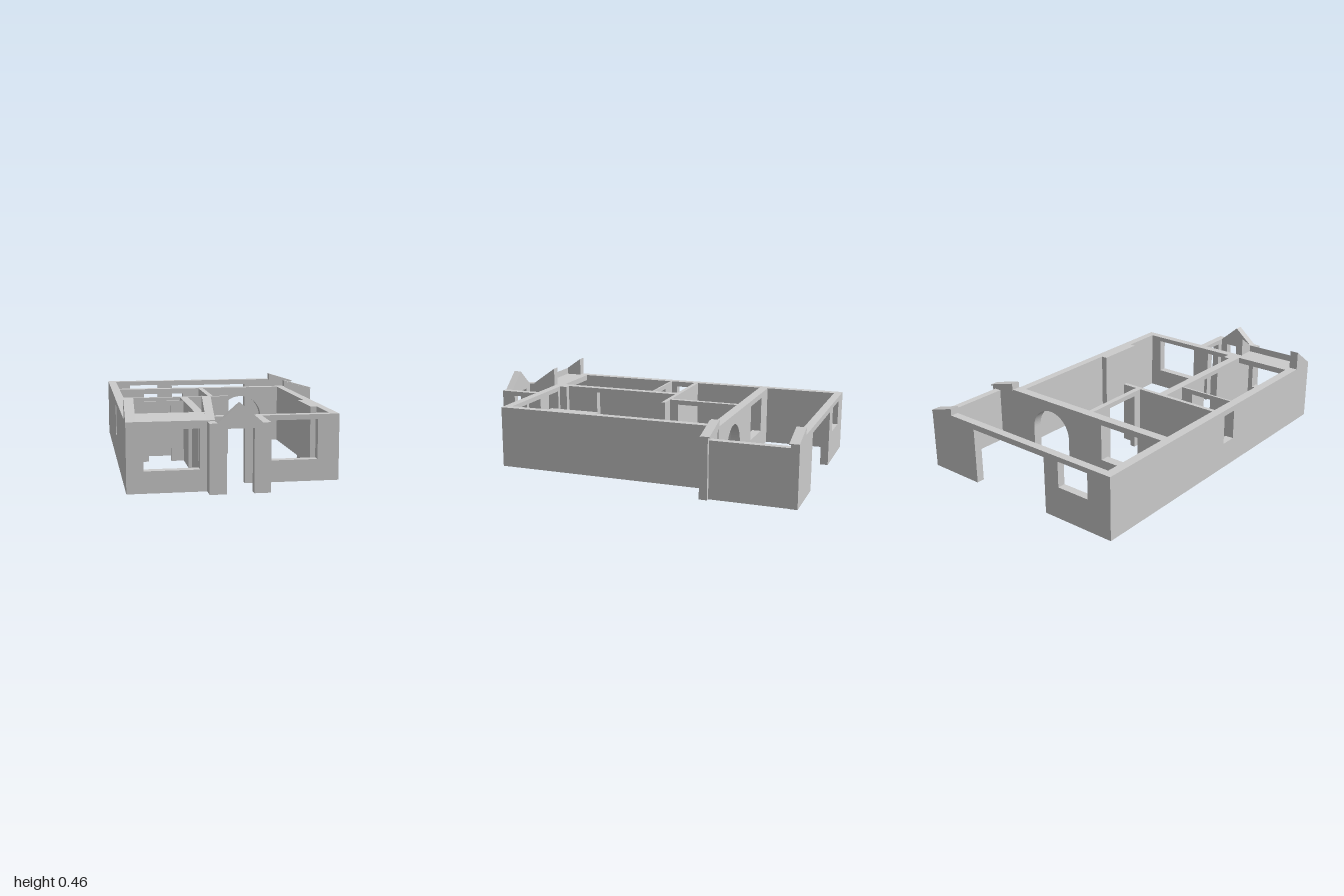
import * as THREE from 'three';

const H = 0.352; // general wall height

export function createModel() {
  const house = new THREE.Group();
  const material = new THREE.MeshStandardMaterial({ color: 0xcccccc, flatShading: true });

  const add = (name, geometry) => {
    const mesh = new THREE.Mesh(geometry, material);
    mesh.name = name;
    house.add(mesh);
  };

  // Upright wall from u = a to b. Doors are notches reaching the floor, windows are holes.
  // door: [from, to, height, arched?]   window: [from, to, sill, head]
  function wallShape(a, b, { doors = [], windows = [], top } = {}) {
    const shape = new THREE.Shape();
    shape.moveTo(a, 0);
    for (const [d0, d1, h, arched] of doors) {
      shape.lineTo(d0, 0);
      if (arched) {
        const r = (d1 - d0) / 2;
        shape.lineTo(d0, h - r);
        shape.absarc((d0 + d1) / 2, h - r, r, Math.PI, 0, true);
      } else {
        shape.lineTo(d0, h);
        shape.lineTo(d1, h);
      }
      shape.lineTo(d1, 0);
    }
    shape.lineTo(b, 0);
    for (const [u, v] of top ?? [[b, H], [a, H]]) shape.lineTo(u, v);
    shape.closePath();
    for (const [w0, w1, sill, head] of windows) {
      const hole = new THREE.Path();
      hole.moveTo(w0, sill);
      hole.lineTo(w0, head);
      hole.lineTo(w1, head);
      hole.lineTo(w1, sill);
      hole.closePath();
      shape.holes.push(hole);
    }
    return shape;
  }

  const extrude = (shape, depth) =>
    new THREE.ExtrudeGeometry(shape, { depth, bevelEnabled: false, curveSegments: 20 });

  // Wall running along x, thick from z0 to z1
  const wallX = (name, a, b, z0, z1, options) =>
    add(name, extrude(wallShape(a, b, options), z1 - z0).translate(0, 0, z0));

  // Wall running along z, thick from x0 to x1
  const wallZ = (name, a, b, x0, x1, options) =>
    add(name, extrude(wallShape(a, b, options), x1 - x0).rotateY(-Math.PI / 2).translate(x1, 0, 0));

  const box = (name, x0, x1, y0, y1, z0, z1) =>
    add(name, new THREE.BoxGeometry(x1 - x0, y1 - y0, z1 - z0)
      .translate((x0 + x1) / 2, (y0 + y1) / 2, (z0 + z1) / 2));

  // Outer walls
  wallZ('rightOuterWall', -1, 0.775, -0.655, -0.605, { windows: [[-0.02, 0.075, 0.15, 0.32]] });
  wallX('backWall', -0.605, 0.47, -1, -0.955, {
    doors: [[-0.22, 0.295, 0.32]],
    windows: [[-0.51, -0.315, 0.18, 0.325]],
  });
  wallZ('leftOuterWall', -0.485, 0.725, 0.42, 0.465);
  wallX('frontWall', -0.27, 0.465, 0.725, 0.772, {
    doors: [[-0.165, -0.035, 0.325]],
    windows: [[0.075, 0.35, 0.115, 0.325]],
  });
  wallZ('sideRoomWall', -0.955, -0.53, 0.585, 0.625, { top: [[-0.53, 0.317], [-0.955, 0.317]] });

  // Wall between the back room and the rest, with the archway
  wallX('archWall', -0.605, 0.47, -0.535, -0.482, {
    doors: [[0.04, 0.31, 0.295, true]],
    windows: [[-0.45, -0.2, 0.11, 0.32]],
  });

  // Raised wall ends with sloping copings
  for (const [z0, z1, c0, c1, end] of [[-1, -0.955, -1, -0.947, 0.628], [-0.53, -0.485, -0.54, -0.493, 0.645]]) {
    wallX('raisedWallEnd', 0.47, end, z0, z1, { top: [[end, 0.335], [0.47, 0.385]] });
    const coping = new THREE.Shape([[0.47, 0.345], [0.65, 0.335], [0.65, 0.341], [0.47, 0.391]]
      .map(([x, y]) => new THREE.Vector2(Math.min(x, end + 0.005), y)));
    add('coping', extrude(coping, c1 - c0).translate(0, 0, c0));
  }

  // Inner partitions
  wallX('hallPartition', -0.605, 0.02, -0.07, -0.046);
  wallX('smallRoomPartition', -0.605, -0.27, 0.108, 0.12, { doors: [[-0.475, -0.345, 0.325]] });
  wallZ('backPartition', -0.482, -0.07, -0.1, -0.07, { doors: [[-0.34, -0.12, 0.325]] });
  wallZ('longPartition', -0.046, 0.725, -0.272, -0.225, { doors: [[0.34, 0.48, 0.325]] });
  box('doorNib', -0.225, -0.19, 0, H, 0.677, 0.725);
  box('chimneyBreast', 0.385, 0.42, 0, H, 0.2, 0.49);

  // Bay: sloped side walls, sloped front parapet, flat slab behind
  const slopeTop = [[0.92, 0.357], [0.775, 0.46]];
  for (const [x0, x1] of [[-0.655, -0.605], [-0.26, -0.215]]) {
    wallZ('baySideWall', 0.775, 0.92, x0, x1, { top: slopeTop });
  }
  wallX('bayFrontWall', -0.605, -0.26, 0.87, 0.92, {
    windows: [[-0.57, -0.29, 0.112, 0.317]],
    top: [[-0.26, 0.357], [-0.605, 0.357]],
  });
  const parapet = new THREE.Shape([[0.87, 0.357], [0.92, 0.357], [0.87, 0.392]]
    .map(([z, y]) => new THREE.Vector2(z, y)));
  add('bayParapet', extrude(parapet, 0.345).rotateY(-Math.PI / 2).translate(-0.26, 0, 0));
  box('baySlab', -0.605, -0.26, 0.318, H, 0.725, 0.87);

  // Porch with gabled front
  wallX('porchGable', -0.255, 0.052, 0.955, 1, {
    doors: [[-0.17, -0.032, 0.325]],
    top: [[0.052, H], [0.01, H], [-0.102, 0.45], [-0.215, H], [-0.255, H]],
  });
  wallZ('porchLeftWall', 0.772, 0.955, 0.01, 0.052, { windows: [[0.818, 0.918, 0.108, 0.325]] });
  box('porchRightWall', -0.255, -0.215, 0, H, 0.92, 0.955);

  return house;
}
